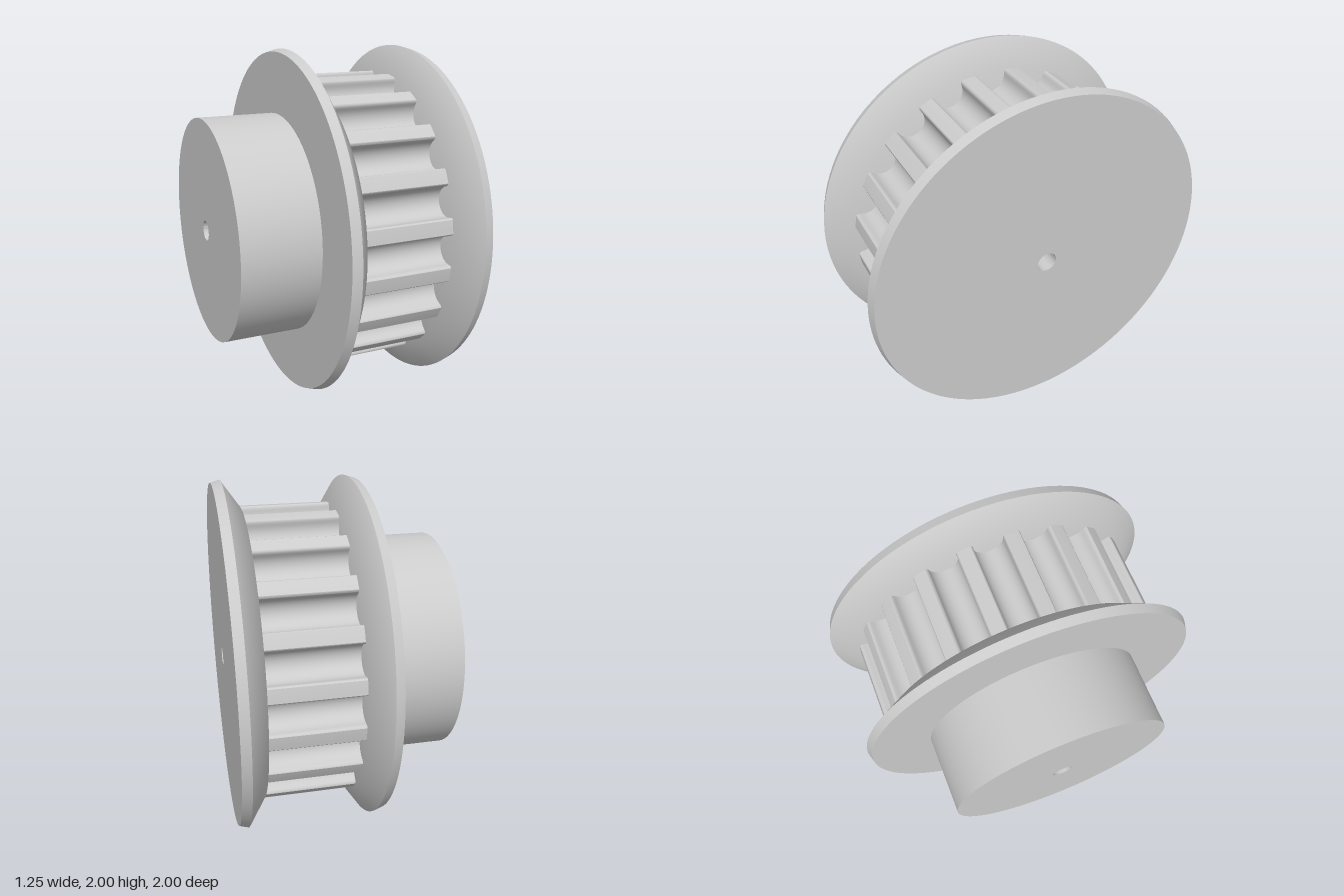
import * as THREE from 'three';
import { toCreasedNormals } from 'three/addons/utils/BufferGeometryUtils.js';

const TEETH = 20;
const OUTER = 0.852; // tooth tip radius
const BORE = 0.057;
const RIM = 1.0;
const CORE = [-0.031, 0.472]; // toothed width along x

export function createModel() {
  const group = new THREE.Group();
  const material = new THREE.MeshStandardMaterial({ color: 0xcccccc });

  const add = (name, geometry) => {
    const mesh = new THREE.Mesh(toCreasedNormals(geometry, 0.6), material);
    mesh.name = name;
    mesh.position.y = 1;
    group.add(mesh);
  };

  // Revolves [x, radius] pairs about the x axis
  const turn = (name, profile) => {
    const points = profile.map(([x, r]) => new THREE.Vector2(r, x));
    add(name, new THREE.LatheGeometry(points, 128).rotateZ(-Math.PI / 2));
  };

  // Hub
  turn('hub', [[-0.625, BORE], [-0.625, 0.64], [-0.17, 0.64]]);

  // Flanges: slightly tapered rim, then a cone down to the teeth
  turn('hubSideFlange', [
    [-0.181, BORE], [-0.181, 0.985], [-0.131, RIM], [CORE[0], OUTER], [CORE[0], BORE],
  ]);
  turn('outerFlange', [
    [CORE[1], BORE], [CORE[1], OUTER], [0.573, RIM], [0.625, 0.985], [0.625, BORE],
  ]);

  // Bore through the whole part
  turn('bore', [[0.625, BORE], [-0.625, BORE]]);

  // Toothed core: round grooves with rolled lips between narrow lands
  const pitch = (2 * Math.PI) / TEETH;
  const half = 0.112; // half the angle of a groove mouth
  const floorRadius = 0.083;
  const floorCentre = 0.818;
  const mouth = new THREE.Vector2(OUTER * Math.cos(half), OUTER * Math.sin(half));
  const lip = new THREE.QuadraticBezierCurve(
    mouth,
    new THREE.Vector2(mouth.x - 0.003, floorRadius),
    new THREE.Vector2(floorCentre, floorRadius),
  ).getPoints(4);

  const groove = lip.map((p) => new THREE.Vector2(p.x, -p.y));
  for (let i = 1; i < 16; i++) {
    const a = -Math.PI / 2 + (i / 16) * Math.PI;
    groove.push(new THREE.Vector2(
      floorCentre - floorRadius * Math.cos(a), floorRadius * Math.sin(a)));
  }
  groove.push(...lip.slice().reverse());
  // Land up to the next groove
  for (let i = 1; i < 3; i++) {
    const a = half + (i / 3) * (pitch - 2 * half);
    groove.push(new THREE.Vector2(OUTER * Math.cos(a), OUTER * Math.sin(a)));
  }

  const outline = [];
  const origin = new THREE.Vector2();
  for (let t = 0; t < TEETH; t++) {
    outline.push(...groove.map((p) => p.clone().rotateAround(origin, t * pitch)));
  }
  const section = new THREE.Shape(outline);
  section.holes.push(new THREE.Path().absarc(0, 0, 0.3, 0, 2 * Math.PI, true));

  const overlap = 0.005; // ends sit just inside the flanges
  const core = new THREE.ExtrudeGeometry(section, {
    depth: CORE[1] - CORE[0] + 2 * overlap, bevelEnabled: false, curveSegments: 24,
  });
  core.translate(0, 0, CORE[0] - overlap).rotateY(Math.PI / 2);
  add('toothedCore', core);

  return group;
}
